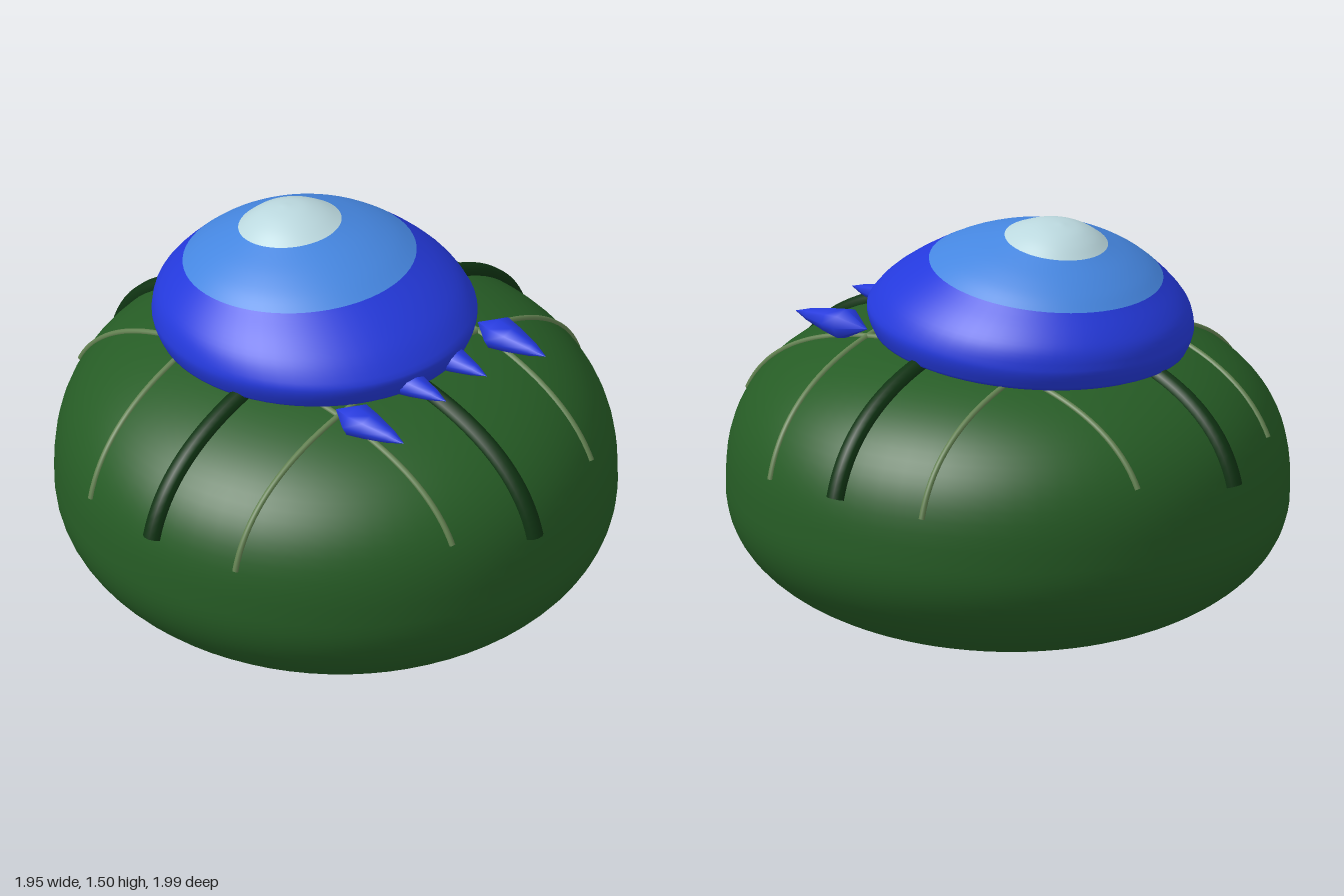
import * as THREE from 'three';
import { mergeVertices } from 'three/addons/utils/BufferGeometryUtils.js';

const mat = (name, color) => new THREE.MeshStandardMaterial({ name, color });

// Body profile: superellipse halves meeting at the widest height
const R = 0.965, MID = 0.5, TOP = 0.6, ZS = 1.02;
const surfaceY = (x, z) => {
  const r = Math.min(1, Math.hypot(x, z / ZS) / R);
  return MID + TOP * Math.pow(1 - Math.pow(r, 2.6), 1 / 2.6);
};

function bodyGeometry() {
  const pts = [];
  for (let i = 0; i <= 48; i++) {
    const a = -Math.PI / 2 + (Math.PI * i) / 48;
    const e = a < 0 ? 2 / 2.2 : 2 / 2.6;
    const c = Math.pow(Math.max(0, Math.cos(a)), e);
    const s = Math.sign(a) * Math.pow(Math.abs(Math.sin(a)), e);
    pts.push(new THREE.Vector2(R * c, MID + s * (a < 0 ? MID : TOP)));
  }
  return new THREE.LatheGeometry(pts, 72).scale(1, 1, ZS);
}

// Rib that follows the top of the body, with closed ends
function rib(name, material, alongX, offset, end, radius) {
  const g = new THREE.Group();
  g.name = name;
  const pts = [];
  for (let i = 0; i <= 24; i++) {
    const s = end * Math.sin((i / 24 - 0.5) * Math.PI);
    const x = alongX ? s : offset, z = alongX ? offset : s;
    pts.push(new THREE.Vector3(x, surfaceY(x, z), z));
  }
  const curve = new THREE.CatmullRomCurve3(pts);
  g.add(new THREE.Mesh(new THREE.TubeGeometry(curve, 64, radius, 10), material));
  for (const t of [0, 1]) {
    const cap = new THREE.Mesh(new THREE.CircleGeometry(radius, 10), material);
    const dir = curve.getTangent(t).multiplyScalar(t ? 1 : -1);
    cap.position.copy(curve.getPoint(t));
    cap.quaternion.setFromUnitVectors(new THREE.Vector3(0, 0, 1), dir);
    g.add(cap);
  }
  return g;
}

// Dome band: a lathe that leans back more the higher it goes
function domeBand(name, material, profile) {
  const lathe = new THREE.LatheGeometry(profile.map(p => new THREE.Vector2(...p)), 64);
  lathe.deleteAttribute('uv');
  lathe.deleteAttribute('normal');
  const geo = mergeVertices(lathe);
  const p = geo.attributes.position;
  for (let i = 0; i < p.count; i++) {
    const t = Math.max(0, (p.getY(i) - 1.15) / 0.35);
    const z = p.getZ(i) * (1.074 - 0.1 * t);
    p.setZ(i, z - 0.1 - 0.14 * t);
    p.setY(i, p.getY(i) + z * (0.05 + 0.1 * t));
  }
  geo.computeVertexNormals();
  const m = new THREE.Mesh(geo, material);
  m.name = name;
  return m;
}

// Smooth run of profile points
const smooth = (pts, n) => new THREE.SplineCurve(pts.map(p => new THREE.Vector2(...p)))
  .getPoints(n).map(p => [Math.max(0, p.x), p.y]);

// Flattened pointed claw, its tip towards +z
function claw(name, material, x, y, z, radius, length) {
  const pts = [[0, 0], [radius, 0.3], [radius * 0.8, 0.5], [radius * 0.4, 0.8], [0, 1]]
    .map(([r, h]) => new THREE.Vector2(r, h * length));
  const geo = new THREE.LatheGeometry(pts, 8).rotateX(Math.PI / 2).scale(1, 0.75, 1);
  const m = new THREE.Mesh(geo, material);
  m.name = name;
  m.position.set(x, y, z);
  return m;
}

export function createModel() {
  const green = mat('leaf green', 0x265c25);
  const darkGreen = mat('dark green', 0x0f3312);
  const paleGreen = mat('pale green', 0x628050);
  const blue = mat('deep blue', 0x2439dc);
  const lightBlue = mat('light blue', 0x4586e0);
  const white = mat('pale ice', 0xbbd8de);

  const model = new THREE.Group();
  model.name = 'model';

  const body = new THREE.Mesh(bodyGeometry(), green);
  body.name = 'body';
  model.add(body);

  // Two wide ribs cross the top, four thin ones run beside them
  model.add(rib('wideRibLengthwise', darkGreen, false, -0.045, 0.965, 0.034));
  model.add(rib('wideRibCrosswise', darkGreen, true, 0, 0.945, 0.034));
  for (const s of [-1, 1]) {
    model.add(rib('thinRibLengthwise', paleGreen, false, s * 0.357, 0.867, 0.011));
    model.add(rib('thinRibCrosswise', paleGreen, true, s * 0.337, 0.89, 0.011));
  }

  // Dome in three coloured bands
  const dome = new THREE.Group();
  dome.name = 'dome';
  dome.add(
    domeBand('domeBase', blue, [[0, 1.05], [0.5, 1.055],
      ...smooth([[0.52, 1.065], [0.538, 1.11], [0.54, 1.15], [0.515, 1.21], [0.465, 1.268], [0.4, 1.325]], 20)]),
    domeBand('domeMiddle', lightBlue, smooth([[0.4, 1.325], [0.345, 1.363], [0.27, 1.402], [0.18, 1.438]], 12)),
    domeBand('domeTop', white, smooth([[0.18, 1.438], [0.13, 1.468], [0.07, 1.491], [0, 1.5]], 12)),
  );
  model.add(dome);

  // Claws under the front edge of the dome
  for (const s of [-1, 1]) {
    model.add(claw('outerClaw', blue, s * 0.365, 1.088, 0.33, 0.072, 0.32));
    model.add(claw('innerClaw', blue, s * 0.105, 1.117, 0.33, 0.062, 0.28));
  }
  return model;
}
